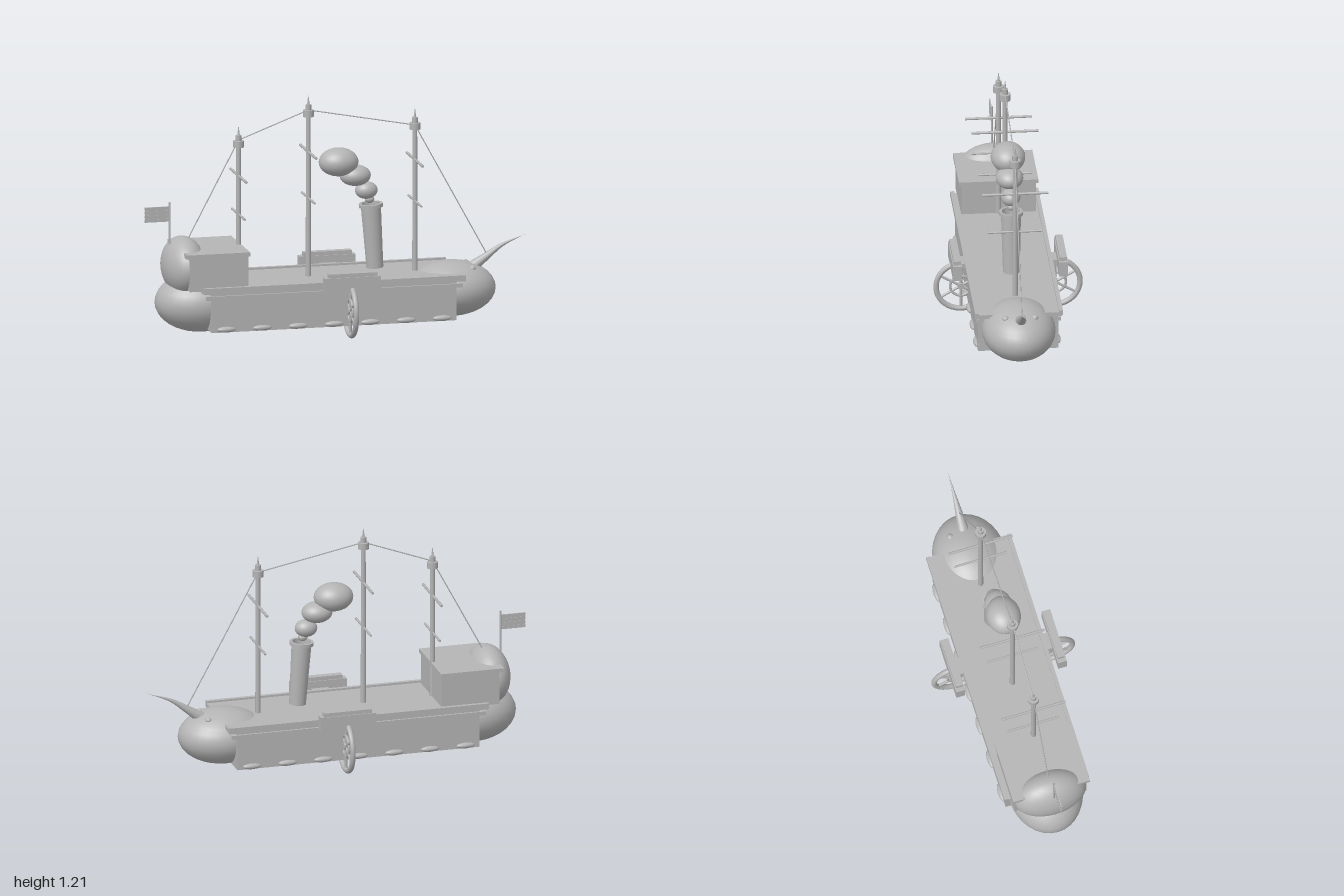
import * as THREE from 'three';

export function createModel() {
  const ship = new THREE.Group();
  ship.name = 'steamship';
  const grey = new THREE.MeshStandardMaterial({ color: 0xb4b4b4, side: THREE.DoubleSide });
  grey.name = 'plain grey';

  const add = (name, geometry, x = 0, y = 0, z = 0) => {
    const mesh = new THREE.Mesh(geometry, grey);
    mesh.name = name;
    mesh.position.set(x, y, z);
    ship.add(mesh);
    return mesh;
  };
  // box given by its limits in x and y, its depth and its middle z
  const box = (name, x0, x1, y0, y1, depth, z = 0) =>
    add(name, new THREE.BoxGeometry(x1 - x0, y1 - y0, depth), (x0 + x1) / 2, (y0 + y1) / 2, z);
  const ball = (name, x, y, z, rx, ry, rz, n = 32) => {
    const mesh = add(name, new THREE.SphereGeometry(1, n, n / 2), x, y, z);
    mesh.scale.set(rx, ry, rz);
    return mesh;
  };
  const post = (name, x, y0, y1, r, top = r) =>
    add(name, new THREE.CylinderGeometry(top, r, y1 - y0, 16), x, (y0 + y1) / 2, 0);
  // round bar between two points
  const bar = (name, a, b, r, sides = 8) => {
    const from = new THREE.Vector3(...a), to = new THREE.Vector3(...b);
    const mesh = add(name, new THREE.CylinderGeometry(r, r, from.distanceTo(to), sides));
    mesh.position.copy(from).lerp(to, 0.5);
    mesh.quaternion.setFromUnitVectors(new THREE.Vector3(0, 1, 0), to.clone().sub(from).normalize());
    return mesh;
  };

  // Hull, deck and rubbing strips
  box('hull', -0.7, 0.58, 0.055, 0.26, 0.41);
  box('deck', -0.745, 0.625, 0.258, 0.28, 0.44);
  for (const side of [-1, 1]) {
    box('rail', -0.745, 0.625, 0.262, 0.29, 0.02, side * 0.214);
    box('sideStrip', -0.73, 0.61, 0.226, 0.246, 0.016, side * 0.208);
    for (let i = 0; i < 7; i++)
      ball('porthole', -0.625 + i * 0.188, 0.07, side * 0.207, 0.05, 0.015, 0.016, 16);
  }

  // Rounded bow with eyes and a curved, tapering horn
  ball('bow', 0.6, 0.18, 0, 0.23, 0.142, 0.188);
  for (const side of [-1, 1]) ball('eye', 0.695, 0.292, side * 0.075, 0.017, 0.014, 0.017, 16);
  const path = new THREE.CatmullRomCurve3([
    [0.715, 0.285], [0.79, 0.337], [0.87, 0.39], [1, 0.44],
  ].map(([x, y]) => new THREE.Vector3(x, y, 0)));
  const steps = 20, sides = 16;
  const horn = new THREE.TubeGeometry(path, steps, 0.03, sides);
  const p = horn.attributes.position, v = new THREE.Vector3();
  for (let i = 0; i < p.count; i++) {
    const t = Math.floor(i / (sides + 1)) / steps;
    v.fromBufferAttribute(p, i).lerp(path.getPointAt(t), 1 - Math.pow(1 - t, 1.4));
    p.setXYZ(i, v.x, v.y, v.z);
  }
  horn.computeVertexNormals();
  add('horn', horn);

  // Stern and cabin
  ball('stern', -0.71, 0.18, 0, 0.235, 0.155, 0.19);
  ball('sternDome', -0.8, 0.37, 0, 0.11, 0.15, 0.19);
  box('cabin', -0.81, -0.505, 0.27, 0.445, 0.38);
  box('cabinRoof', -0.83, -0.498, 0.443, 0.464, 0.405);

  // Flag with separate stripes
  post('flagpole', -0.87, 0.46, 0.7, 0.005);
  for (let i = 0; i < 4; i++) box('flagStripe', -1, -0.873, 0.601 + i * 0.021, 0.616 + i * 0.021, 0.006);
  box('flagCloth', -0.998, -0.873, 0.603, 0.677, 0.002);

  // Masts: position, cap height, yard heights
  const masts = [[-0.51, 0.968, 0.82, 0.62], [-0.145, 1.108, 0.925, 0.685], [0.412, 1.013, 0.855, 0.64]];
  for (const [x, cap, upper, lower] of masts) {
    post('mast', x, 0.27, cap, 0.014, 0.012);
    post('mastCap', x, cap, cap + 0.034, 0.028);
    post('mastCollar', x, cap + 0.034, cap + 0.062, 0.015);
    post('mastSpike', x, cap + 0.062, cap + 0.108, 0.007, 0.001);
    bar('upperYard', [x, upper, -0.17], [x, upper, 0.17], 0.007);
    bar('lowerYard', [x, lower, -0.138], [x, lower, 0.138], 0.006);
  }

  // Rigging
  const rope = [[-0.775, 0.505, 0], [-0.51, 1.005, 0], [-0.145, 1.142, 0], [0.412, 1.035, 0], [0.785, 0.35, 0]];
  for (let i = 1; i < rope.length; i++) bar('rope', rope[i - 1], rope[i], 0.003, 6);

  // Leaning funnel, open at the top
  const funnel = [[0, 0], [0.043, 0], [0.051, 0.315], [0.061, 0.315], [0.061, 0.333], [0.047, 0.333], [0.044, 0.27], [0, 0.27]];
  const profile = [];
  funnel.forEach(([r, y], i) => { // doubled corners keep the edges crisp
    if (i) profile.push([new THREE.Vector2(...funnel[i - 1]), new THREE.Vector2(r, y)]);
  });
  for (const pair of profile)
    add('funnel', new THREE.LatheGeometry(pair, 32), 0.203, 0.308, 0).rotation.z = 0.066;

  // Smoke puffs
  ball('smoke', 0.175, 0.662, 0, 0.025, 0.02, 0.02, 16);
  ball('smoke', 0.158, 0.71, 0, 0.058, 0.045, 0.05);
  ball('smoke', 0.1, 0.79, 0, 0.08, 0.054, 0.07);
  ball('smoke', 0.013, 0.864, 0, 0.102, 0.073, 0.088);

  // Wheels and the boxes above them
  for (const side of [-1, 1]) {
    const z = side * 0.24, x = 0.016, y = 0.142;
    box('wheelBox', -0.13, 0.163, 0.245, 0.325, 0.046, side * 0.27);
    box('wheelBoxLid', -0.108, 0.145, 0.323, 0.345, 0.036, side * 0.27);
    box('wheelBracket', -0.03, 0.06, 0.262, 0.288, 0.05, side * 0.235);
    add('wheelRim', new THREE.TorusGeometry(0.127, 0.014, 12, 48), x, y, z).rotation.y = Math.PI / 2;
    add('wheelRing', new THREE.TorusGeometry(0.055, 0.007, 10, 32), x, y, z).rotation.y = Math.PI / 2;
    bar('wheelHub', [x - 0.013, y, z], [x + 0.013, y, z], 0.017, 16);
    for (let i = 0; i < 3; i++) {
      const a = i * Math.PI / 3, dy = 0.125 * Math.cos(a), dz = 0.125 * Math.sin(a);
      bar('wheelSpoke', [x, y - dy, z - dz], [x, y + dy, z + dz], 0.007);
    }
  }
  return ship;
}
